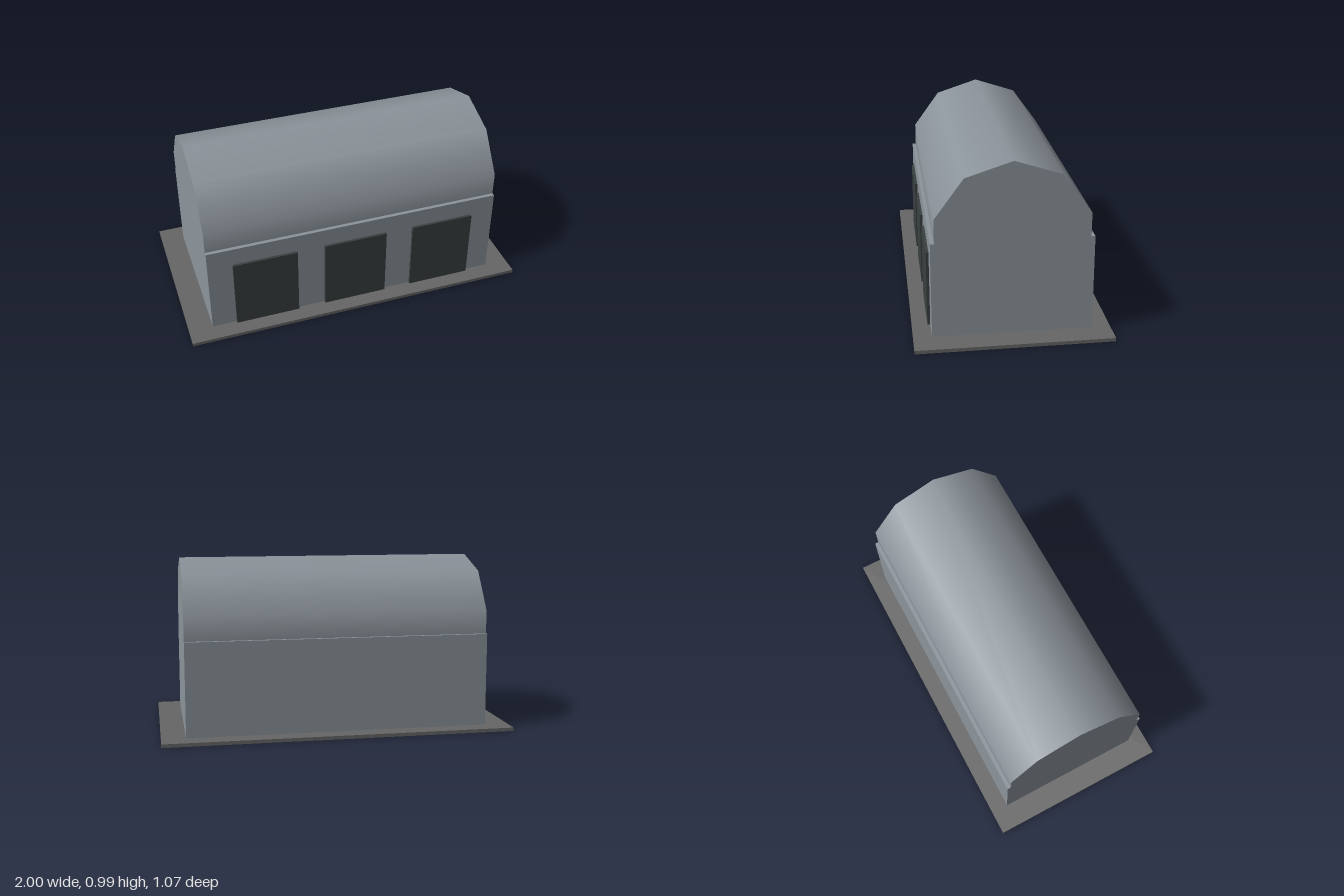
import * as THREE from 'three';

export function createModel() {
  const model = new THREE.Group();
  const paint = (name, color) => {
    const material = new THREE.MeshStandardMaterial({ color });
    material.name = name;
    return material;
  };
  const metal = paint('grey metal', 0x8c949b);
  const concrete = paint('dark concrete', 0x666666);
  const doorPaint = paint('charcoal door', 0x3a4040);

  const add = (name, geometry, material, x, y, z) => {
    const mesh = new THREE.Mesh(geometry, material);
    mesh.name = name;
    mesh.position.set(x, y, z);
    model.add(mesh);
  };

  const length = 1.727, radius = 0.433, slabTop = 0.02, eaves = 0.554;

  // Ground slab
  add('slab', new THREE.BoxGeometry(2, slabTop, 1.067), concrete, 0, slabTop / 2, 0);

  // Rectangular hall
  const wallHeight = eaves - slabTop;
  add('walls', new THREE.BoxGeometry(length, wallHeight, radius * 2), metal, 0, slabTop + wallHeight / 2, 0);

  // Ten-sided barrel roof, smooth along its curve, with a ridge at the top
  const barrel = new THREE.CylinderGeometry(radius, radius, length, 10, 1, false, Math.PI / 2);
  barrel.rotateZ(Math.PI / 2);
  add('barrelRoof', barrel, metal, 0, eaves, 0);

  // Three front doors standing slightly proud of the wall
  const doorHeight = 0.428;
  ['rightDoor', 'middleDoor', 'leftDoor'].forEach((name, i) => {
    add(name, new THREE.BoxGeometry(0.373, doorHeight, 0.03), doorPaint,
      (i - 1) * 0.535, slabTop + doorHeight / 2, radius);
  });

  return model;
}
